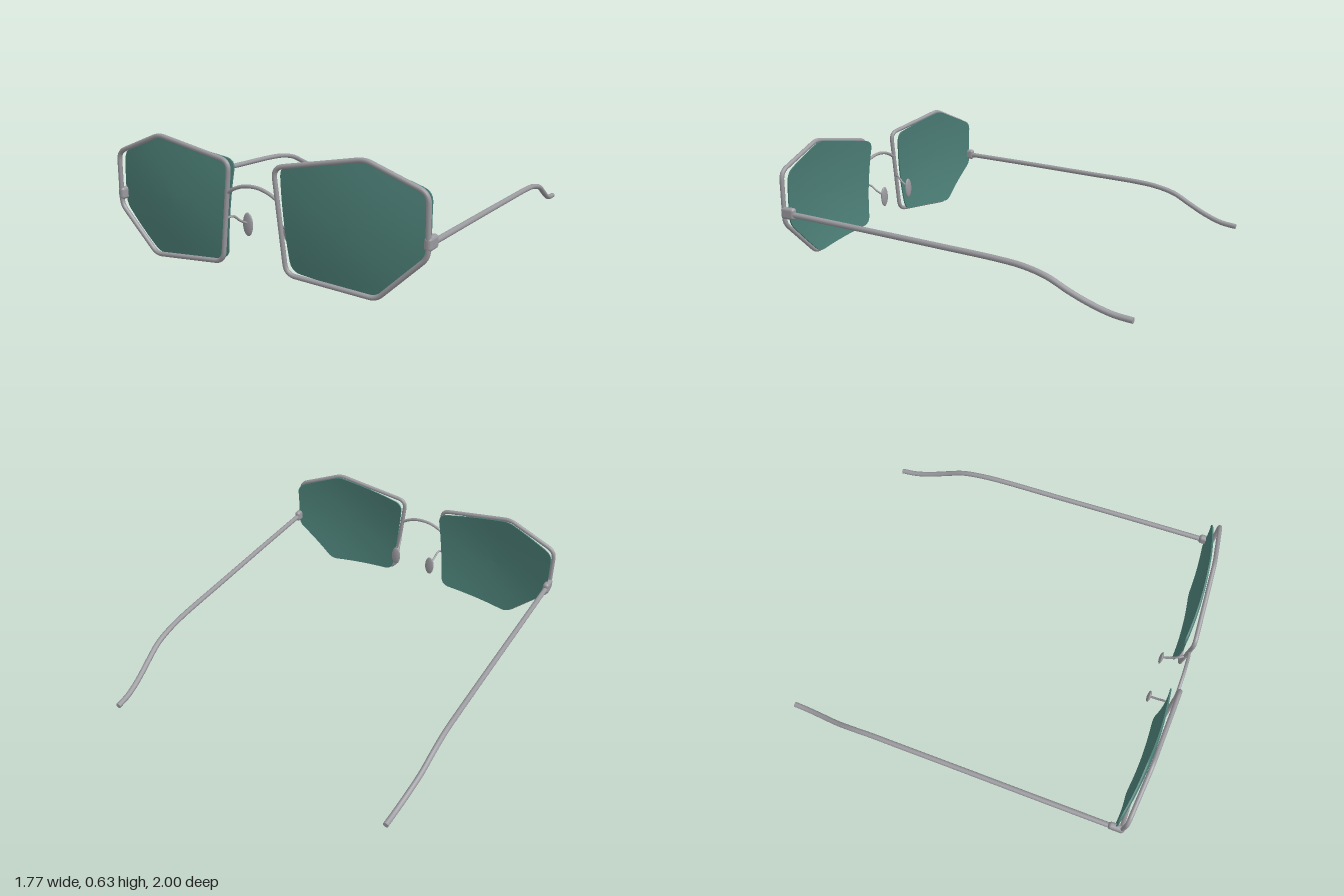
import * as THREE from 'three';
import { RoundedBoxGeometry } from 'three/addons/geometries/RoundedBoxGeometry.js';

const V = (x, y, z) => new THREE.Vector3(x, y, z);

// Depth of the slightly swept-back front
const frontZ = (x) => 0.987 - 0.07 * (x - 0.12);

// Six-sided rim path with rounded corners: x, y, corner radius
const CORNERS = [
  [0.18, 0.057, 0.05], [0.63, 0.013, 0.035], [0.867, 0.235, 0.035],
  [0.867, 0.512, 0.045], [0.575, 0.628, 0.035], [0.125, 0.55, 0.05],
];

function rimPath() {
  const pts = CORNERS.map(([x, y]) => V(x, y, frontZ(x)));
  const n = pts.length;
  const toward = (a, b, d) => a.clone().add(b.clone().sub(a).setLength(d));
  const path = new THREE.CurvePath();
  for (let i = 0; i < n; i++) {
    const p = pts[i], next = pts[(i + 1) % n], prev = pts[(i + n - 1) % n];
    const r = CORNERS[i][2];
    const out = toward(p, next, r);
    path.add(new THREE.QuadraticBezierCurve3(toward(p, prev, r), p, out));
    path.add(new THREE.LineCurve3(out, toward(next, p, CORNERS[(i + 1) % n][2])));
  }
  return path;
}

// Domed lens: rings from the front centre, round the edge, to the back centre
function lensGeometry(path) {
  const N = 120, cx = 0.5, cy = 0.32, half = 0.004;
  const outline = path.getSpacedPoints(N);
  const steps = [0, 0.2, 0.4, 0.6, 0.8, 0.995];
  const rings = [
    ...steps.map((s) => [s, half]), [0.995, half],
    [0.995, -half], ...steps.slice().reverse().map((s) => [s, -half]),
  ];
  const pos = [], idx = [];
  for (const [s, off] of rings) {
    for (let j = 0; j <= N; j++) {
      const dx = (outline[j].x - cx) * s, dy = (outline[j].y - cy) * s;
      pos.push(cx + dx, cy + dy, frontZ(cx + dx) + 0.002 - 0.28 * (dx * dx + dy * dy) + off);
    }
  }
  for (let i = 0; i < rings.length - 1; i++) {
    for (let j = 0; j < N; j++) {
      const a = i * (N + 1) + j, b = a + N + 1;
      idx.push(a, b, b + 1, a, b + 1, a + 1);
    }
  }
  const g = new THREE.BufferGeometry();
  g.setAttribute('position', new THREE.Float32BufferAttribute(pos, 3));
  g.setIndex(idx);
  g.computeVertexNormals();
  return g;
}

// Copy across x = 0 with the face order turned round
function mirrored(geometry) {
  const g = geometry.clone().applyMatrix4(new THREE.Matrix4().makeScale(-1, 1, 1));
  const list = g.index || g.attributes.position;
  if (g.index) {
    const a = g.index.array;
    for (let i = 0; i < a.length; i += 3) [a[i], a[i + 1]] = [a[i + 1], a[i]];
  } else {
    g.setIndex(Array.from({ length: list.count }, (_, i) => i - (i % 3) + [1, 0, 2][i % 3]));
  }
  return g;
}

const tube = (points, radius, segments) =>
  new THREE.TubeGeometry(new THREE.CatmullRomCurve3(points), segments, radius, 10);

export function createModel() {
  const metal = new THREE.MeshStandardMaterial({ color: 0x9a9a9f });
  metal.name = 'brushed metal';
  const glass = new THREE.MeshStandardMaterial({ color: 0x4c7f77 });
  glass.name = 'green glass';

  const model = new THREE.Group();
  model.name = 'sunglasses';
  const add = (name, geometry, material) => {
    const mesh = new THREE.Mesh(geometry, material);
    mesh.name = name;
    model.add(mesh);
  };
  const addPair = (name, geometry, material) => {
    add('left' + name, geometry, material);
    add('right' + name, mirrored(geometry), material);
  };

  // Rims and lenses
  const path = rimPath();
  addPair('Rim', new THREE.TubeGeometry(path, 260, 0.012, 10, true), metal);
  addPair('Lens', lensGeometry(path), glass);

  // Arched bridge
  add('bridge', tube([
    V(-0.138, 0.402, 0.986), V(-0.1, 0.424, 0.987), V(-0.05, 0.441, 0.987), V(0, 0.446, 0.987),
    V(0.05, 0.441, 0.987), V(0.1, 0.424, 0.987), V(0.138, 0.402, 0.986),
  ], 0.009, 40), metal);

  // Nose pads on bent wire arms
  addPair('NosePadArm', tube([
    V(0.152, 0.275, 0.982), V(0.135, 0.28, 0.955), V(0.126, 0.25, 0.915), V(0.119, 0.225, 0.868),
  ], 0.006, 24), metal);
  addPair('NosePad', new THREE.SphereGeometry(1, 24, 16)
    .scale(0.029, 0.059, 0.011).translate(0.118, 0.219, 0.865), metal);

  // Hinge blocks
  addPair('Hinge', new RoundedBoxGeometry(0.036, 0.064, 0.088, 4, 0.016)
    .translate(0.866, 0.294, 0.903), metal);

  // Temples that run back, turn in and droop to the ear
  const templePoints = [
    V(0.867, 0.291, 0.9), V(0.861, 0.277, 0.45), V(0.854, 0.261, 0), V(0.849, 0.247, -0.36),
    V(0.846, 0.235, -0.48), V(0.843, 0.205, -0.6), V(0.834, 0.15, -0.71), V(0.82, 0.105, -0.81),
    V(0.808, 0.073, -0.91), V(0.802, 0.062, -0.999),
  ];
  addPair('Temple', tube(templePoints, 0.0145, 90), metal);

  // Flat ends of the temples
  addPair('TempleTip', new THREE.CircleGeometry(0.0145, 16)
    .rotateY(Math.PI).translate(0.802, 0.062, -0.999), metal);

  return model;
}
